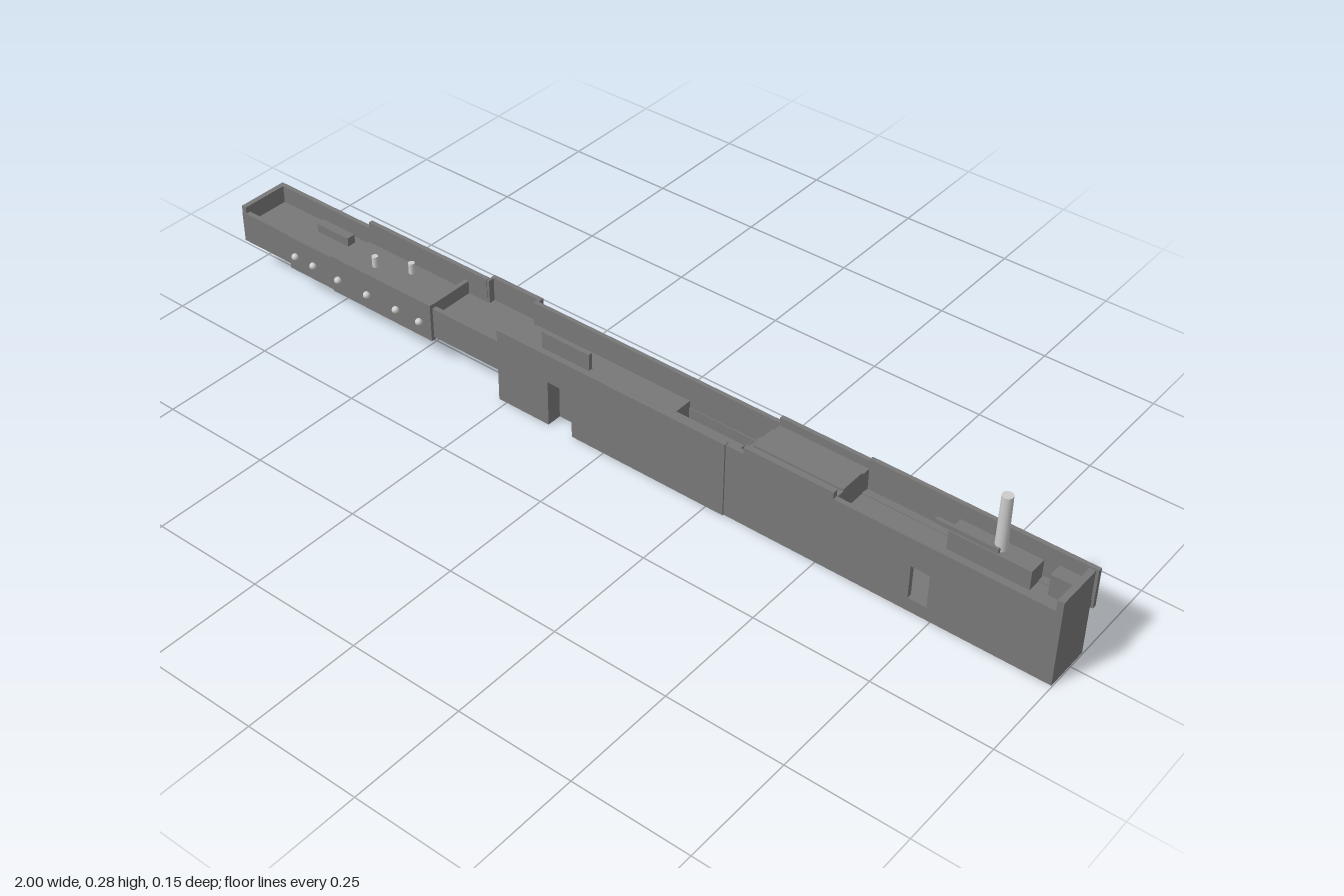
import * as THREE from 'three';

const bodyMat = new THREE.MeshStandardMaterial({ color: 0x787878 });
bodyMat.name = 'dark grey';
const pinMat = new THREE.MeshStandardMaterial({ color: 0xcccccc });
pinMat.name = 'light grey';

export function createModel() {
  const model = new THREE.Group();
  model.name = 'railChassis';

  const add = (name, geo, mat, x = 0, y = 0, z = 0) => {
    const m = new THREE.Mesh(geo, mat);
    m.name = name;
    m.position.set(x, y, z);
    model.add(m);
    return m;
  };
  // box from its minimum and maximum on each axis
  const box = (name, x0, x1, y0, y1, z0, z1) =>
    add(name, new THREE.BoxGeometry(x1 - x0, y1 - y0, z1 - z0), bodyMat,
      (x0 + x1) / 2, (y0 + y1) / 2, (z0 + z1) / 2);
  // upright panel with an outline in x and y, and optional rectangular windows
  const panel = (name, pts, z0, z1, windows = []) => {
    const s = new THREE.Shape(pts.map(p => new THREE.Vector2(...p)));
    for (const [x0, x1, y0, y1] of windows) {
      s.holes.push(new THREE.Path([[x0, y0], [x0, y1], [x1, y1], [x1, y0]].map(p => new THREE.Vector2(...p))));
    }
    add(name, new THREE.ExtrudeGeometry(s, { depth: z1 - z0, bevelEnabled: false }), bodyMat, 0, 0, z0);
  };
  const window = [0.70, 0.74, 0.03, 0.105];

  // deep front wall, notched at the bottom and slightly thicker to the left
  panel('frontWallNotched', [[-0.27, 0], [-0.14, 0], [-0.14, 0.105], [-0.08, 0.105], [-0.08, 0],
    [0.29, 0], [0.29, 0.17], [-0.27, 0.17]], 0.052, 0.064);
  panel('frontWallRight', [[0.29, 0], [0.995, 0], [0.995, 0.168], [0.53, 0.168], [0.53, 0.183],
    [0.33, 0.183], [0.33, 0.168], [0.29, 0.168]], 0.05, 0.061, [window]);

  // back wall: overhanging upper rail in steps
  panel('backRail', [[-0.27, 0.1], [1, 0.1], [1, 0.188], [0.53, 0.188], [0.53, 0.183],
    [0.33, 0.183], [0.33, 0.17], [-0.27, 0.17]], -0.061, -0.052, [[0.70, 0.74, 0.101, 0.105]]);
  box('railLedgeLeft', -0.27, 0.12, 0.1, 0.108, -0.053, -0.043);
  box('railLedgeMid', 0.29, 0.70, 0.1, 0.108, -0.053, -0.043);
  box('railLedgeRight', 0.74, 0.995, 0.1, 0.108, -0.053, -0.043);

  // recessed lower back wall and the block that stands out from it
  panel('lowerBackLeft', [[-0.27, 0], [0.12, 0], [0.12, 0.105], [-0.27, 0.105]], -0.044, -0.034);
  panel('lowerBackRight', [[0.29, 0], [0.995, 0], [0.995, 0.12], [0.29, 0.12]], -0.044, -0.034, [window]);
  box('backBlock', 0.12, 0.29, 0, 0.102, -0.061, -0.05);

  // bottom, inner floor and cross walls, open between x 0.12 and 0.29
  box('bottomLeft', -0.27, -0.14, 0, 0.01, -0.043, 0.055);
  box('bottomBehindNotch', -0.14, -0.08, 0, 0.01, -0.043, 0.02);
  box('bottomMiddle', -0.08, 0.12, 0, 0.01, -0.043, 0.055);
  box('bottomRight', 0.29, 0.995, 0, 0.01, -0.043, 0.055);
  box('innerFloorLeft', -0.27, 0.12, 0.108, 0.118, -0.053, 0.053);
  box('innerFloorRight', 0.29, 0.995, 0.108, 0.118, -0.053, 0.052);
  box('openingWallLeft', 0.11, 0.12, 0, 0.118, -0.06, 0.055);
  box('openingWallRight', 0.29, 0.30, 0, 0.118, -0.06, 0.055);
  box('stepWall', -0.27, -0.26, 0, 0.118, -0.044, 0.055);
  box('centreRail', -0.20, 0.29, 0.105, 0.13, 0.002, 0.012);

  // recess behind the front notch
  box('notchStep', -0.14, -0.08, 0, 0.07, 0.02, 0.03);
  box('notchBack', -0.14, -0.08, 0.0, 0.108, 0.0, 0.01);
  for (const x of [-0.146, -0.08]) box('notchSide', x, x + 0.006, 0, 0.108, 0, 0.055);

  // raised inner pieces
  box('innerBlock', -0.20, -0.08, 0.115, 0.168, 0, 0.01);
  box('raisedDeck', 0.33, 0.53, 0.115, 0.165, -0.052, 0.05);
  box('deckBar', 0.33, 0.53, 0.16, 0.17, -0.03, 0.03);
  box('pinMount', 0.73, 0.90, 0.115, 0.16, -0.045, -0.005);
  box('lever', 0.70, 0.83, 0.16, 0.17, -0.016, -0.008);
  box('endBracket', 0.93, 0.99, 0.115, 0.165, -0.045, -0.015);

  // right end plate
  box('rightEnd', 0.985, 0.998, 0, 0.193, -0.043, 0.061);

  // shallow left tray
  box('trayBottom', -1, -0.27, 0.068, 0.078, -0.058, 0.055);
  box('trayFloor', -0.99, -0.27, 0.105, 0.115, -0.055, 0.055);
  box('trayFront', -1, -0.45, 0.068, 0.14, 0.048, 0.059);
  box('trayFrontLow', -0.45, -0.27, 0.066, 0.136, 0.046, 0.057);
  panel('trayBack', [[-1, 0.068], [-0.40, 0.068], [-0.40, 0.17], [-0.73, 0.17], [-0.73, 0.155], [-1, 0.155]],
    -0.061, -0.051);
  box('leftEnd', -1, -0.988, 0.068, 0.155, -0.06, 0.058);
  box('underPad', -0.86, -0.45, 0.059, 0.07, -0.035, 0.058);
  box('sidePlateLeft', -0.86, -0.73, 0.059, 0.139, 0.057, 0.061);
  box('sidePlateRight', -0.73, -0.45, 0.059, 0.146, 0.055, 0.064);
  box('trayCrossWall', -0.46, -0.45, 0.11, 0.145, -0.052, 0.056);
  box('trayBracket', -0.85, -0.76, 0.11, 0.135, -0.035, -0.015);
  box('trayDeck', -0.73, -0.46, 0.11, 0.125, -0.045, 0.05);

  // outward bulge of the back wall
  box('backPlate', -0.40, -0.27, 0.067, 0.169, -0.076, -0.066);
  for (const x of [-0.40, -0.276]) box('bulgeSide', x, x + 0.006, 0.067, 0.169, -0.067, -0.052);
  box('bulgeFloor', -0.40, -0.27, 0.067, 0.115, -0.067, -0.052);

  // rivets along the front of the tray
  const rivet = new THREE.SphereGeometry(0.008, 14, 10);
  for (const x of [-0.84, -0.787, -0.71, -0.627, -0.545, -0.48]) {
    add('rivet', rivet, pinMat, x, 0.096, x < -0.73 ? 0.064 : 0.068);
  }

  // upright pins
  add('tallPin', new THREE.CylinderGeometry(0.011, 0.0125, 0.165, 24), pinMat, 0.825, 0.1975, -0.025);
  const peg = new THREE.CylinderGeometry(0.007, 0.007, 0.03, 14);
  for (const [x, z] of [[-0.655, 0.01], [-0.58, -0.02]]) add('smallPeg', peg, pinMat, x, 0.135, z);

  return model;
}
